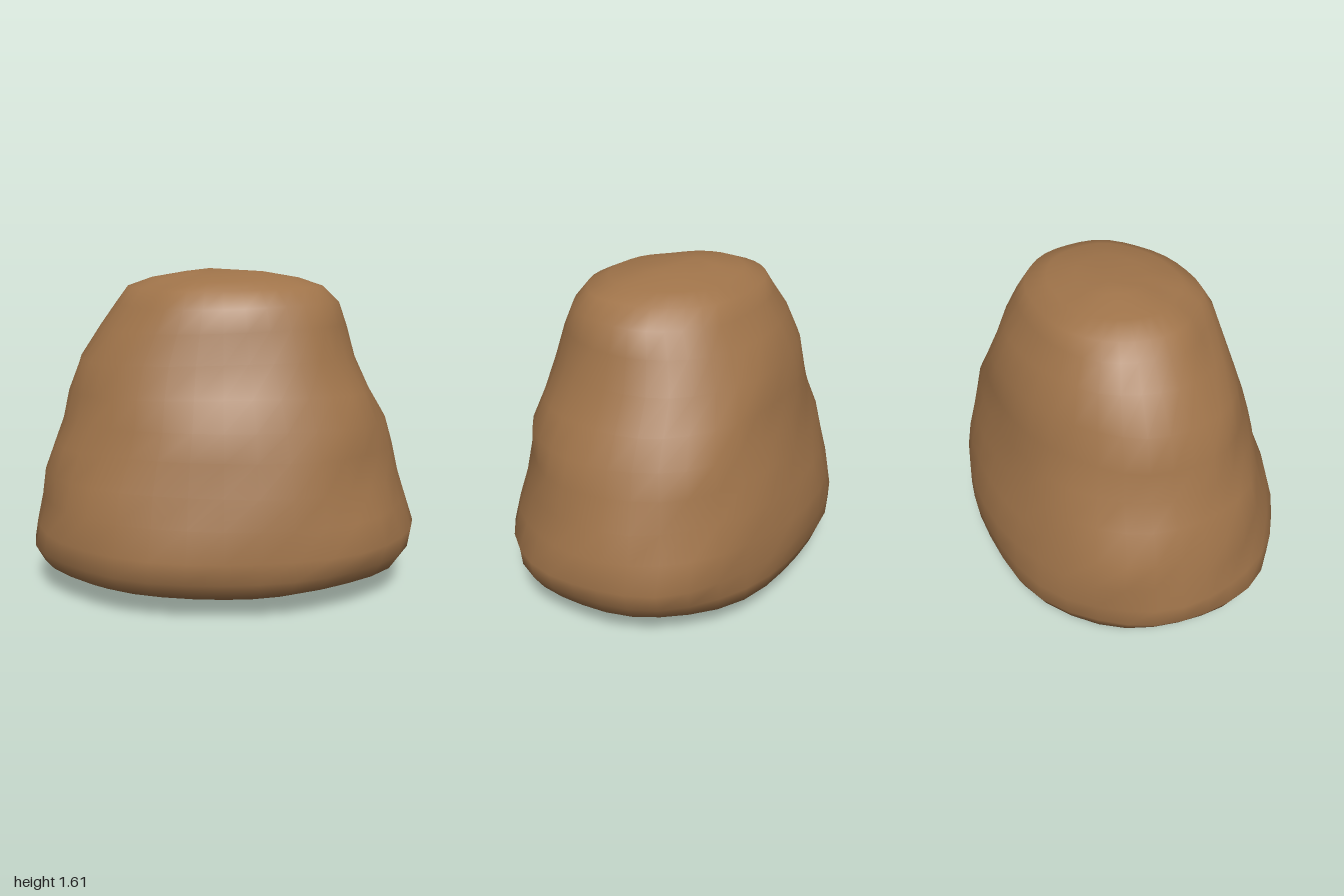
import * as THREE from 'three';

// Cross-sections from bottom to top: [y, xMin, xMax, zMin, zMax]
const SECTIONS = [
  [0.02, -0.36, 0.42, -0.14, 0.32],
  [0.06, -0.58, 0.62, -0.34, 0.47],
  [0.09, -0.84, 0.78, -0.55, 0.61],
  [0.14, -0.94, 0.91, -0.71, 0.70],
  [0.22, -0.99, 0.96, -0.74, 0.75],
  [0.32, -0.98, 0.99, -0.75, 0.76],
  [0.46, -0.95, 0.95, -0.75, 0.73],
  [0.60, -0.93, 0.91, -0.71, 0.70],
  [0.75, -0.87, 0.87, -0.67, 0.66],
  [0.88, -0.81, 0.84, -0.63, 0.64],
  [1.02, -0.78, 0.76, -0.60, 0.58],
  [1.18, -0.73, 0.67, -0.57, 0.53],
  [1.33, -0.63, 0.62, -0.50, 0.50],
  [1.44, -0.55, 0.58, -0.43, 0.47],
  [1.52, -0.49, 0.50, -0.39, 0.41],
  [1.56, -0.37, 0.38, -0.29, 0.32],
  [1.59, -0.19, 0.20, -0.17, 0.17],
];
const SIDES = 36;
const TAU = Math.PI * 2;

// Gentle lumps, stronger away from the four silhouette directions
function lump(a, y) {
  return 0.012 * Math.sin(3 * a + 5 * y) + 0.010 * Math.sin(5 * a - 9 * y + 1)
    + 0.007 * Math.sin(8 * a + 14 * y + 2);
}

function createBoulderGeometry() {
  const positions = [];
  const index = [];

  for (const [y, x0, x1, z0, z1] of SECTIONS) {
    for (let i = 0; i < SIDES; i++) {
      const a = (i / SIDES) * TAU;
      const c = Math.cos(a), s = Math.sin(a);
      // Slightly squared oval
      const k = Math.pow(Math.pow(Math.abs(c), 2.2) + Math.pow(Math.abs(s), 2.2), -1 / 2.2);
      // Worn corner at the upper front right
      const worn = 0.10 * Math.exp(-(((a - 2.5) / 0.4) ** 2)) * THREE.MathUtils.smoothstep(y, 1.1, 1.5);
      const r = k * (1 + lump(a, y) * (0.4 + 0.6 * Math.abs(Math.sin(2 * a))) - worn);
      const uneven = 0.012 * Math.sin(2 * a + 1 + 4 * y) * (y > 0.1 && y < 1.5 ? 1 : 0.6);
      positions.push(c * r * (c > 0 ? x1 : -x0), y + uneven, s * r * (s > 0 ? z1 : -z0));
    }
  }

  // Skin between neighbouring sections
  for (let j = 0; j < SECTIONS.length - 1; j++) {
    for (let i = 0; i < SIDES; i++) {
      const n = (i + 1) % SIDES;
      const a = j * SIDES + i, b = j * SIDES + n;
      const c = a + SIDES, d = b + SIDES;
      index.push(a, c, b, b, c, d);
    }
  }

  // Close the underside and the crown
  const bottom = positions.length / 3;
  positions.push(0, 0, 0.12, -0.07, 1.61, -0.06);
  const last = (SECTIONS.length - 1) * SIDES;
  for (let i = 0; i < SIDES; i++) {
    const n = (i + 1) % SIDES;
    index.push(bottom, i, n, bottom + 1, last + n, last + i);
  }

  const geometry = new THREE.BufferGeometry();
  geometry.setAttribute('position', new THREE.Float32BufferAttribute(positions, 3));
  geometry.setIndex(index);
  geometry.computeVertexNormals();
  return geometry;
}

export function createModel() {
  const stone = new THREE.MeshStandardMaterial({ color: 0xa0744a });
  stone.name = 'brown stone';

  const boulder = new THREE.Mesh(createBoulderGeometry(), stone);
  boulder.name = 'boulder';

  const model = new THREE.Group();
  model.name = 'rock';
  model.add(boulder);
  return model;
}
